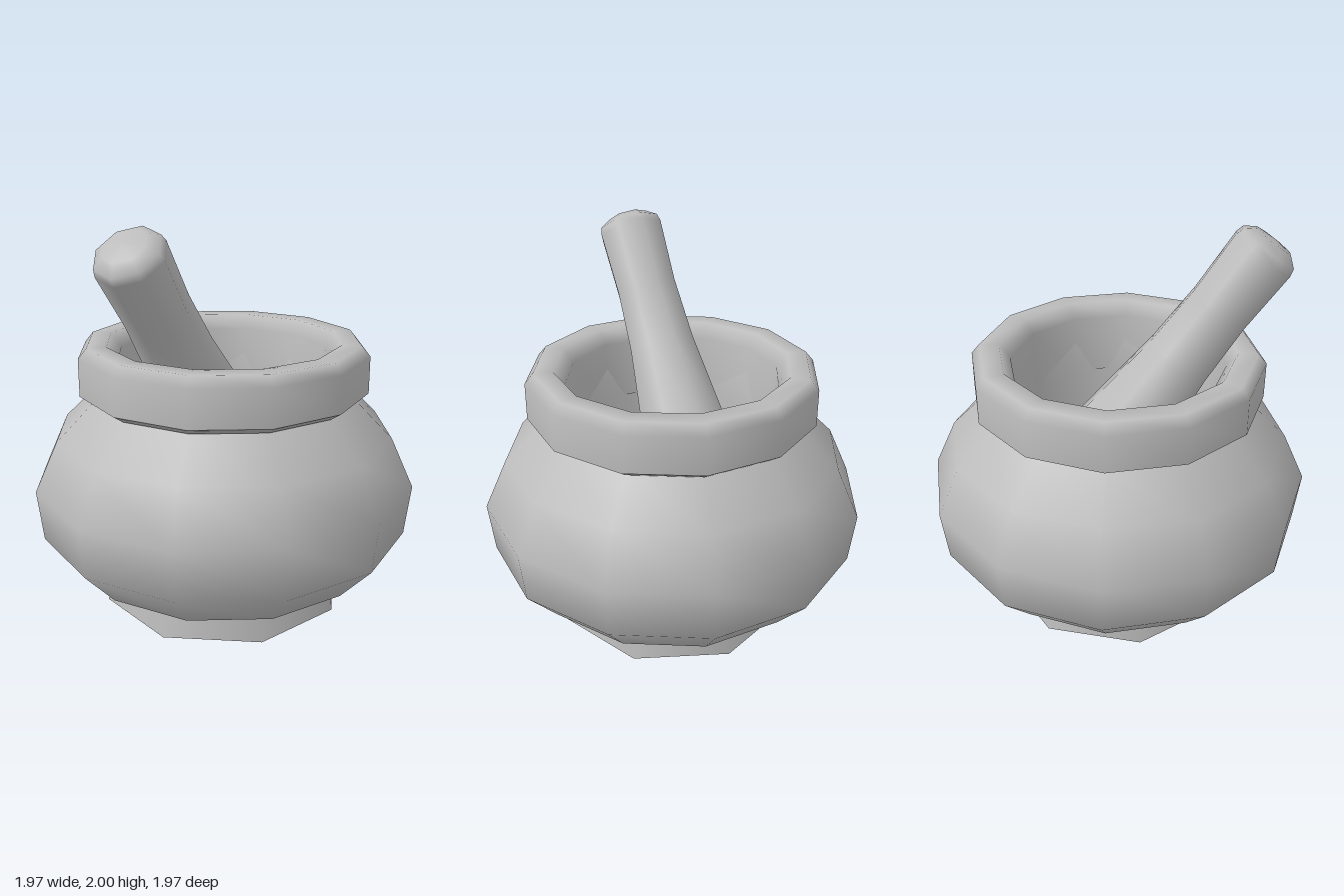
import * as THREE from 'three';

export function createModel() {
  const model = new THREE.Group();
  model.name = 'mortarAndPestle';
  const stone = new THREE.MeshStandardMaterial({ color: 0xbcbcbc });
  stone.name = 'grey stone';

  const add = (name, geometry, parent = model) => {
    const mesh = new THREE.Mesh(geometry, stone);
    mesh.name = name;
    parent.add(mesh);
    return mesh;
  };
  // Profiles are [radius, height] pairs; rising ones face outwards.
  const lathe = (profile, sides) =>
    new THREE.LatheGeometry(profile.map(([r, y]) => new THREE.Vector2(r, y)), sides);

  // Eight-sided foot with a flat underside
  add('foot', lathe([[0.64, 0], [0.62, 0.13]], 8));
  add('footBase', new THREE.CircleGeometry(0.64, 8).rotateX(Math.PI / 2));

  // Rounded twelve-sided belly
  add('bowl', lathe([[0.42, 0.11], [0.6, 0.115], [0.78, 0.21], [0.955, 0.4],
    [0.985, 0.66], [0.87, 0.91], [0.66, 1.12]], 12));

  // Thick collar: sharp bevel below, softly rounded top and inner lip
  add('rimUnderside', lathe([[0.6, 1.105], [0.69, 1.105], [0.742, 1.14]], 12));
  add('rim', lathe([[0.742, 1.14], [0.742, 1.33], [0.7, 1.38], [0.6, 1.38],
    [0.545, 1.31], [0.53, 1.0]], 12));

  // Eight-sided hollow
  add('hollowWall', lathe([[0.6, 1.25], [0.53, 1.0], [0.53, 0.5]], 8));
  add('hollowFloor', new THREE.CircleGeometry(0.53, 8).rotateX(-Math.PI / 2).translate(0, 0.5, 0));

  // Pestle, modelled upright with its grip at the origin, then leaned over
  const pestle = add('pestle', lathe([[0, -1.58], [0.15, -1.53], [0.235, -1.4], [0.245, -1.2],
    [0.18, -0.65], [0.165, -0.33], [0.175, 0], [0.165, 0.04], [0.11, 0.08], [0, 0.09]], 8));
  pestle.position.set(-0.55, 1.87, 0.415);
  pestle.quaternion.setFromUnitVectors(new THREE.Vector3(0, 1, 0),
    new THREE.Vector3(-0.54, 1, 0.51).normalize());

  return model;
}
